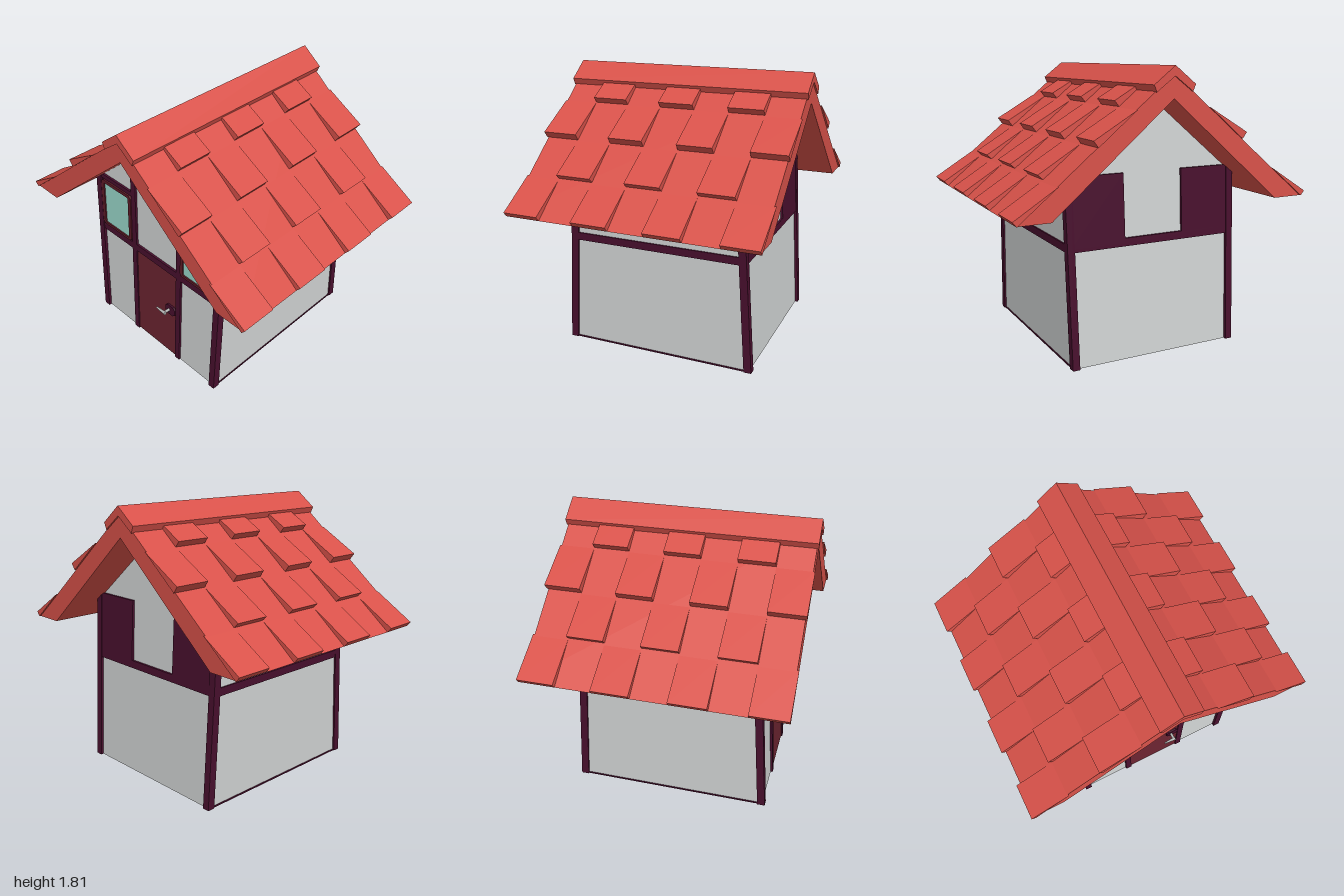
import * as THREE from 'three';

const mat = (name, color) => {
  const m = new THREE.MeshStandardMaterial({ color });
  m.name = name;
  return m;
};

// Walls lean inwards in z and spread slightly in x as they rise
function lean(geo) {
  const p = geo.attributes.position;
  for (let i = 0; i < p.count; i++) {
    const x = p.getX(i), y = p.getY(i), z = p.getZ(i);
    p.setXYZ(i, x * (1 + 0.02 * y), y, z - Math.sign(z) * 0.06 * y);
  }
  geo.computeVertexNormals();
  return geo;
}

// Prism from an outline in x/y, spanning z0 to z1
function prism(points, z0, z1, hole) {
  const shape = new THREE.Shape(points.map(([x, y]) => new THREE.Vector2(x, y)));
  if (hole) shape.holes.push(new THREE.Path(hole.map(([x, y]) => new THREE.Vector2(x, y))));
  return new THREE.ExtrudeGeometry(shape, { depth: z1 - z0, bevelEnabled: false }).translate(0, 0, z0);
}

// Rectangle outline with clipped corners
const clipped = (x0, x1, y0, y1, c) => [
  [x0 + c, y0], [x1 - c, y0], [x1, y0 + c], [x1, y1 - c],
  [x1 - c, y1], [x0 + c, y1], [x0, y1 - c], [x0, y0 + c],
];

export function createModel() {
  const house = new THREE.Group();
  house.name = 'house';
  const plaster = mat('plaster', 0xd0d3d3);
  const timber = mat('dark timber', 0x480f2d);
  const doorRed = mat('door red', 0x6b2430);
  const frameRed = mat('window frame red', 0x5f1c28);
  const glass = mat('glass', 0x98d6c9);
  const tile = mat('roof tile', 0xd9524a);
  const metal = mat('handle metal', 0xb8b8b8);

  const add = (name, geo, material, parent = house) => {
    const m = new THREE.Mesh(geo, material);
    m.name = name;
    parent.add(m);
    return m;
  };
  const block = (name, x0, x1, y0, y1, z0, z1, material) =>
    add(name, lean(new THREE.BoxGeometry(x1 - x0, y1 - y0, z1 - z0)
      .translate((x0 + x1) / 2, (y0 + y1) / 2, (z0 + z1) / 2)), material);

  // Plaster body with gables
  add('walls', lean(prism(
    [[-0.57, 0], [0.57, 0], [0.57, 1.16], [0, 1.64], [-0.57, 1.16]], -0.63, 0.63)), plaster);

  // Timber frame, mirrored left and right
  for (const s of [-1, 1]) {
    const beam = (name, a, b, ...rest) =>
      block(name, Math.min(s * a, s * b), Math.max(s * a, s * b), ...rest);
    beam('frontCornerPost', 0.535, 0.582, 0, 1.17, 0.6, 0.65, timber);
    beam('backCornerPost', 0.535, 0.582, 0, 1.17, -0.65, -0.6, timber);
    beam('frontPost', 0.192, 0.235, 0.005, 1.46, 0.6, 0.645, timber);
    beam('topBeam', 0.2, 0.56, 1.14, 1.17, 0.6, 0.645, timber);
    beam('sideBeam', 0.55, 0.58, 0.72, 0.77, -0.62, 0.62, timber);
    beam('sideSill', 0.55, 0.575, 0, 0.01, -0.62, 0.62, timber);
    beam('windowSurround', 0.2, 0.56, 0.75, 1.15, 0.6, 0.638, timber);
    beam('backPanel', 0.2, 0.56, 0.74, 1.17, -0.645, -0.6, timber);

    // Window: clipped frame around a thin pane
    const cx = s * 0.382;
    add('windowFrame', lean(prism(
      clipped(cx - 0.148, cx + 0.148, 0.775, 1.135, 0.018), 0.63, 0.652,
      clipped(cx - 0.122, cx + 0.122, 0.793, 1.112, 0.004))), frameRed);
    block('windowPane', cx - 0.123, cx + 0.123, 0.79, 1.115, 0.637, 0.643, glass);
  }
  block('frontBeam', -0.56, 0.56, 0.72, 0.77, 0.6, 0.645, timber);
  block('backBeam', -0.56, 0.56, 0.72, 0.77, -0.645, -0.6, timber);

  // Door with its handle
  block('door', -0.195, 0.195, 0.012, 0.725, 0.6, 0.637, doorRed);
  add('handlePlate', lean(prism(clipped(0.1, 0.19, 0.375, 0.45, 0.018), 0.63, 0.65)), timber);
  add('handleStem', new THREE.CylinderGeometry(0.01, 0.01, 0.05, 8)
    .rotateX(Math.PI / 2).translate(0.135, 0.412, 0.645), metal);
  add('handleLever', new THREE.CylinderGeometry(0.012, 0.006, 0.085, 8)
    .rotateZ(-Math.PI / 2).translate(0.103, 0.412, 0.668), metal);

  // Roof slab and ridge cap
  const roof = new THREE.Group();
  roof.name = 'roof';
  house.add(roof);
  add('roofSlab', prism([[0, 1.765], [-0.975, 0.97], [-0.77, 0.97], [0, 1.62],
    [0.77, 0.97], [0.975, 0.97]], -0.807, 0.807), tile, roof);
  add('ridgeCap', prism([[0, 1.81], [-0.14, 1.702], [-0.122, 1.66], [0, 1.75],
    [0.122, 1.66], [0.14, 1.702]], -0.818, 0.818), tile, roof);

  // Staggered wedge shingles: columns alternate between two sets of rows
  const rows = [
    [[[0.245, 1.565], [0.52, 1.405], [0.49, 1.365]], [[0.73, 1.168], [1, 1], [0.975, 0.97]]],
    [[[0.01, 1.755], [0.27, 1.605], [0.24, 1.569]], [[0.49, 1.364], [0.76, 1.2], [0.728, 1.171]]],
  ];
  const w = 0.2337;
  for (let col = 0; col < 7; col++) {
    const z0 = -0.818 + col * w;
    for (const s of [-1, 1]) {
      for (const row of rows[col % 2]) {
        add('shingle', prism(row.map(([x, y]) => [s * x, y]), z0, z0 + w), tile, roof);
      }
    }
  }
  return house;
}
